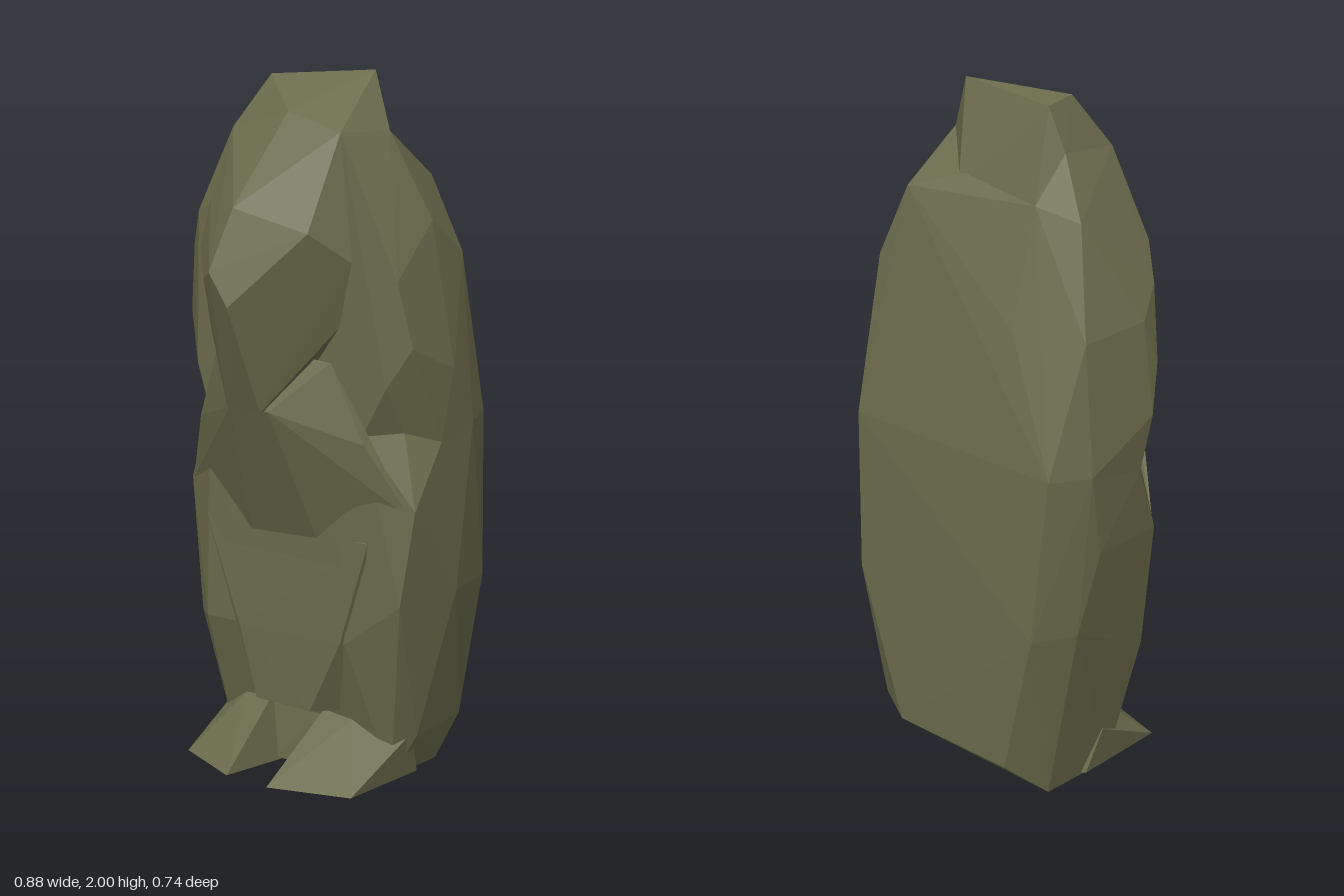
import * as THREE from 'three';
import { ConvexGeometry } from 'three/addons/geometries/ConvexGeometry.js';

const stone = new THREE.MeshStandardMaterial({ color: 0x6a6a4b, flatShading: true });
stone.name = 'olive stone';

// Faceted lump around a handful of corner points
function lump(name, points) {
  const mesh = new THREE.Mesh(new ConvexGeometry(points.map(p => new THREE.Vector3(...p))), stone);
  mesh.name = name;
  return mesh;
}

export function createModel() {
  const model = new THREE.Group();
  model.name = 'hoodedFigure';

  // Waist ring shared by both halves of the cloak, pinched in at the elbows
  const waist = [
    [-0.36, 1.04, -0.343], [0.37, 1.04, -0.338], [0.433, 1.04, -0.2], [0.43, 1.0, -0.06],
    [0.37, 1.03, 0.03], [0.28, 1.02, 0.1], [-0.28, 1.02, 0.1], [-0.36, 1.02, 0.02],
    [-0.43, 1.0, -0.05], [-0.425, 1.04, -0.24],
  ];
  model.add(lump('lowerCloak', [
    ...waist,
    [-0.27, 0.01, -0.24], [0.3, 0.02, -0.22], [-0.28, 0.01, 0], [0.31, 0.02, 0],
    [-0.21, 0.12, -0.36], [0.2, 0.12, -0.362], [0.325, 0.14, -0.3], [0.355, 0.14, -0.06],
    [-0.3, 0.19, -0.04], [-0.2, 0.2, 0.035], [0.2, 0.18, 0.035],
    [-0.355, 0.41, 0.06], [-0.3, 0.41, 0.1], [0.22, 0.42, 0.1],
    [-0.32, 0.56, -0.368], [0.37, 0.56, -0.345], [0.42, 0.56, -0.15], [0.39, 0.55, 0.07],
    [-0.385, 0.56, -0.25], [-0.42, 0.8, -0.2], [-0.41, 0.8, 0.04], [0.425, 0.82, 0.05],
    [0.2, 0.72, 0.105], [-0.2, 0.72, 0.105],
  ]));
  model.add(lump('upperCloak', [
    ...waist,
    [-0.445, 1.16, -0.02], [0.44, 1.2, -0.1], [-0.33, 1.16, 0.1], [0.36, 1.16, 0.1],
    [0.42, 1.27, 0.06], [-0.425, 1.3, 0.02],
    [-0.41, 1.42, -0.02], [-0.38, 1.4, -0.22], [-0.17, 1.4, -0.275], [0.1, 1.4, -0.268],
    [0.34, 1.34, -0.285], [0.4, 1.4, -0.1], [0.385, 1.45, 0.085], [-0.375, 1.5, 0.06],
    [0.345, 1.5, -0.26], [0.36, 1.6, -0.1], [-0.32, 1.6, 0.1],
    [0.25, 1.71, -0.24], [-0.29, 1.69, -0.14], [-0.16, 1.72, -0.175], [0.1, 1.73, -0.195],
    [0.25, 1.84, -0.05], [-0.2, 1.84, 0.085], [0.2, 1.84, 0.1], [-0.19, 1.85, -0.09],
  ]));

  // Pointed hood with its sloping crown
  model.add(lump('hood', [
    [-0.14, 1.985, -0.01], [0.16, 2, -0.1], [-0.14, 1.97, -0.1],
    [0.25, 1.84, -0.05], [0.2, 1.84, 0.1], [0.02, 1.89, 0.105],
    [-0.2, 1.84, 0.085], [-0.19, 1.85, -0.09], [-0.16, 1.72, -0.175],
    [0.1, 1.73, -0.195],
  ]));

  // Face with the jutting chin and beard
  model.add(lump('face', [
    [0.02, 1.89, 0.105], [0.2, 1.84, 0.1], [-0.2, 1.84, 0.085],
    [-0.01, 1.64, 0.3], [0.21, 1.58, 0.25], [-0.22, 1.64, 0.16],
    [-0.25, 1.5, 0.17], [0.28, 1.5, 0.15], [-0.04, 1.47, 0.365],
    [0.03, 1.38, 0.37], [-0.11, 1.44, 0.31], [0.23, 1.32, 0.14],
    [-0.19, 1.27, 0.19], [0.05, 1.08, 0.26], [-0.08, 1.08, 0.25],
    [0, 1.1, 0.05],
  ]));

  // Sleeves folded across the waist
  model.add(lump('foldedSleeves', [
    [0, 0.9, 0.165], [0.06, 1.08, 0.24], [-0.08, 1.08, 0.24],
    [0.3, 1.0, 0.12], [-0.31, 1.01, 0.11], [0.41, 0.8, 0.05], [-0.4, 0.8, 0.045],
    [0.12, 0.71, 0.105], [-0.12, 0.7, 0.105], [0.2, 1.22, 0.14], [-0.19, 1.25, 0.16],
  ]));

  // Robe panel hanging over the feet
  model.add(lump('robePanel', [
    [0.1, 0.2, 0.11], [-0.1, 0.2, 0.11], [0.18, 0.2, 0.02], [-0.13, 0.2, 0.02],
    [0.21, 0.42, 0.11], [-0.16, 0.41, 0.115], [0.3, 0.72, 0.1],
    [-0.3, 0.72, 0.1], [0, 0.75, -0.05],
  ]));

  // Sloping instep that joins the two feet
  model.add(lump('instep', [
    [-0.12, 0.2, 0.035], [0.12, 0.2, 0.035], [-0.07, 0.012, 0.06], [0.06, 0.012, 0.05],
    [-0.12, 0.01, -0.2], [0.12, 0.01, -0.2],
  ]));

  // Wedge feet
  for (const s of [-1, 1]) {
    const out = s > 0 ? 0.325 : 0.29;
    model.add(lump(s > 0 ? 'leftFoot' : 'rightFoot', [
      [s * 0.075, 0.012, 0.27], [s * out, 0.02, 0.2], [s * out, 0.018, -0.1],
      [s * 0.06, 0.005, 0.05], [s * 0.1, 0.2, 0.03], [s * 0.2, 0.18, 0.04],
      [s * (out + 0.02), 0.15, -0.05], [s * 0.1, 0.01, -0.2],
    ]));
  }

  return model;
}
